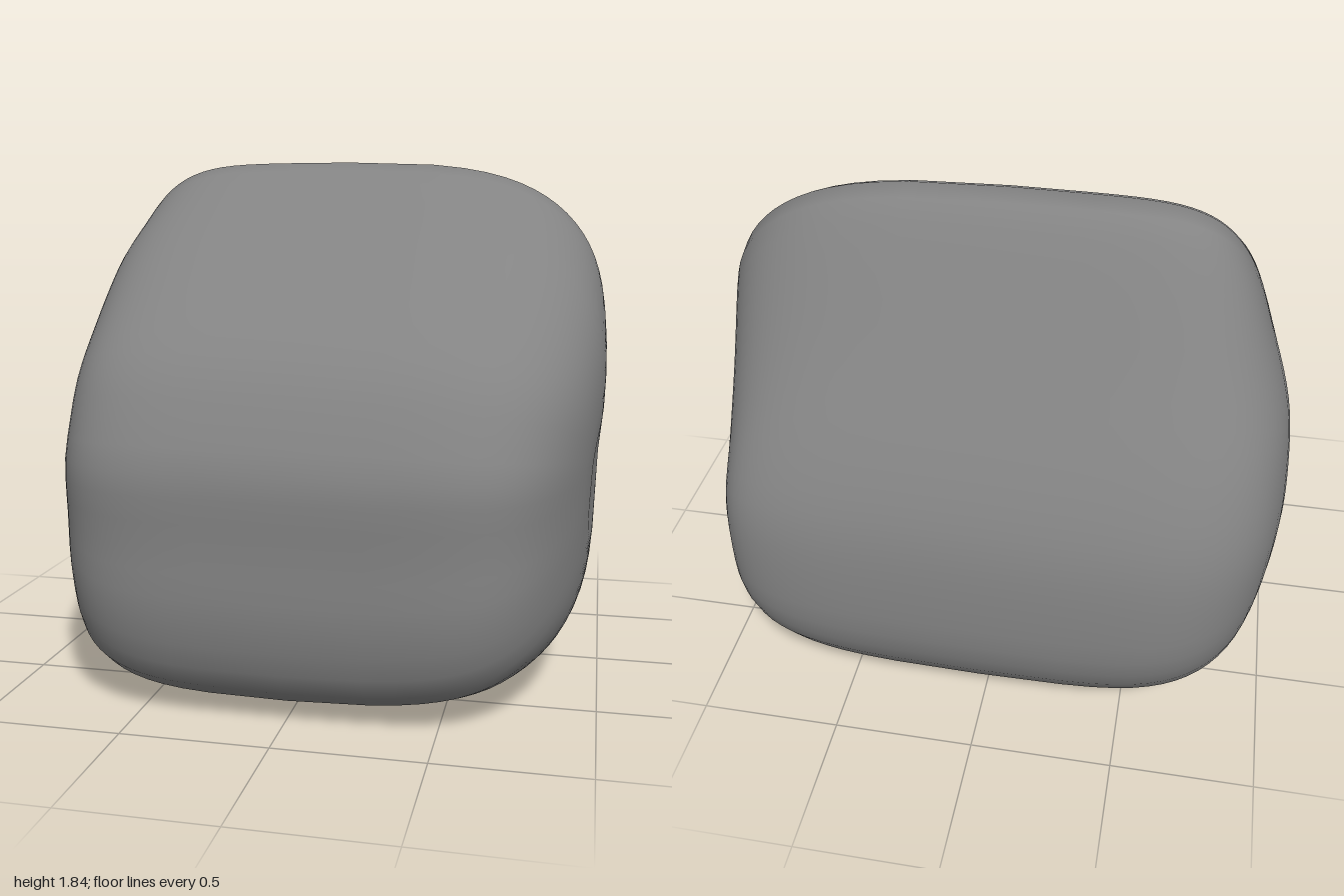
import * as THREE from 'three';

// Smooth cubic through [position, value] pairs, held level past both ends
function sample(table, p) {
  const last = table.length - 1;
  if (p <= table[0][0]) return table[0][1];
  if (p >= table[last][0]) return table[last][1];
  const slope = k => (k === 0 || k === last) ? 0
    : (table[k + 1][1] - table[k - 1][1]) / (table[k + 1][0] - table[k - 1][0]);
  const i = table.findIndex(entry => entry[0] > p);
  const [p0, v0] = table[i - 1], [p1, v1] = table[i];
  const w = p1 - p0, u = (p - p0) / w;
  const ease = u * u * (3 - 2 * u);
  return v0 + (v1 - v0) * ease
    + w * u * (1 - u) * ((1 - u) * slope(i - 1) - u * slope(i));
}

// Ridged side profile as [z, y]: front, base, back, ridge
const PROFILE = [
  [0.91, 0.84], [0.912, 0.58], [0.91, 0.33], [0.83, 0.1], [0.6, 0.01], [0.3, 0], [0, 0.01],
  [-0.3, 0.01], [-0.53, 0.03], [-0.73, 0.09], [-0.84, 0.2], [-0.9, 0.35], [-0.91, 0.52],
  [-0.88, 0.82], [-0.8, 1.03], [-0.6, 1.37], [-0.31, 1.825], [-0.27, 1.84], [-0.22, 1.83],
  [0, 1.7], [0.35, 1.48], [0.74, 1.17], [0.87, 0.94],
];

// Reach of the two sides, by depth and by height
const RIGHT_BY_Z = [[-0.9, 0.97], [-0.6, 0.995], [-0.31, 1.002], [0, 0.94], [0.27, 0.87], [0.6, 0.84]];
const RIGHT_BY_Y = [[0.1, 0.95], [0.4, 0.965], [0.75, 1], [0.95, 1], [1.16, 0.98], [1.43, 0.9], [1.75, 0.81], [1.84, 0.79]];
const RIGHT_TAPER = [[-0.2, 1], [0.35, 0.35]]; // the height taper fades towards the front
const LEFT_BY_Z = [[-0.9, 1.02], [-0.6, 0.965], [0.1, 1], [0.35, 0.98], [0.9, 0.89]];
const LEFT_BY_Y = [[0.1, 0.95], [0.35, 0.96], [0.8, 0.98], [1.2, 1.01], [1.6, 1.03]];

// How far a section has shrunk at t along the rock; a higher power is squarer
const shrink = (t, power) => Math.max(0, 1 - Math.abs(t) ** power) ** (1 / power);

function sideReach(t, y, z) {
  if (t >= 0) return sample(LEFT_BY_Z, z) * sample(LEFT_BY_Y, y);
  const taper = (sample(RIGHT_BY_Y, y) - 1) * sample(RIGHT_TAPER, z);
  return sample(RIGHT_BY_Z, z) * (1 + taper);
}

function rockGeometry(rings = 40, around = 72) {
  const curve = new THREE.CatmullRomCurve3(PROFILE.map(([z, y]) => new THREE.Vector3(0, y, z)), true);
  const outline = curve.getSpacedPoints(around).slice(0, around);
  const positions = [], index = [];
  const midY = 0.8;
  for (let i = 0; i <= rings; i++) {
    // Rings crowd towards the rounded shoulders and flat ends
    const c = Math.cos(Math.PI * i / rings);
    const t = -Math.sign(c) * Math.abs(c) ** 0.444;
    const right = t < 0;
    // Ridge and base both slope gently towards the ends
    const top = shrink(t, right ? 6.5 : 4) * (1 - (right ? 0.01 : 0.07) * t * t);
    const base = shrink(t, right ? 4.6 : 5) * (1 - (right ? 0.05 : 0.1) * t * t);
    const front = shrink(t, 5), back = shrink(t, right ? 5 : 6);
    for (const p of outline) {
      const y = midY + (p.y - midY) * (p.y > midY ? top : base);
      const z = p.z * (p.z > 0 ? front : back);
      positions.push(t * sideReach(t, y, z), y, z);
    }
  }
  for (let i = 0; i < rings; i++) {
    for (let j = 0; j < around; j++) {
      const k = (j + 1) % around;
      const p = i * around + j, q = i * around + k;
      if (i > 0) index.push(p, q, q + around);
      if (i < rings - 1) index.push(p, q + around, p + around);
      else index.push(p, q, p + around);
    }
  }
  const geometry = new THREE.BufferGeometry();
  geometry.setAttribute('position', new THREE.Float32BufferAttribute(positions, 3));
  geometry.setIndex(index);
  geometry.computeVertexNormals();
  return geometry;
}

export function createModel() {
  const group = new THREE.Group();
  const stone = new THREE.MeshStandardMaterial({ color: 0x838383 });
  stone.name = 'stone grey';
  const rock = new THREE.Mesh(rockGeometry(), stone);
  rock.name = 'rock';
  group.add(rock);
  return group;
}
